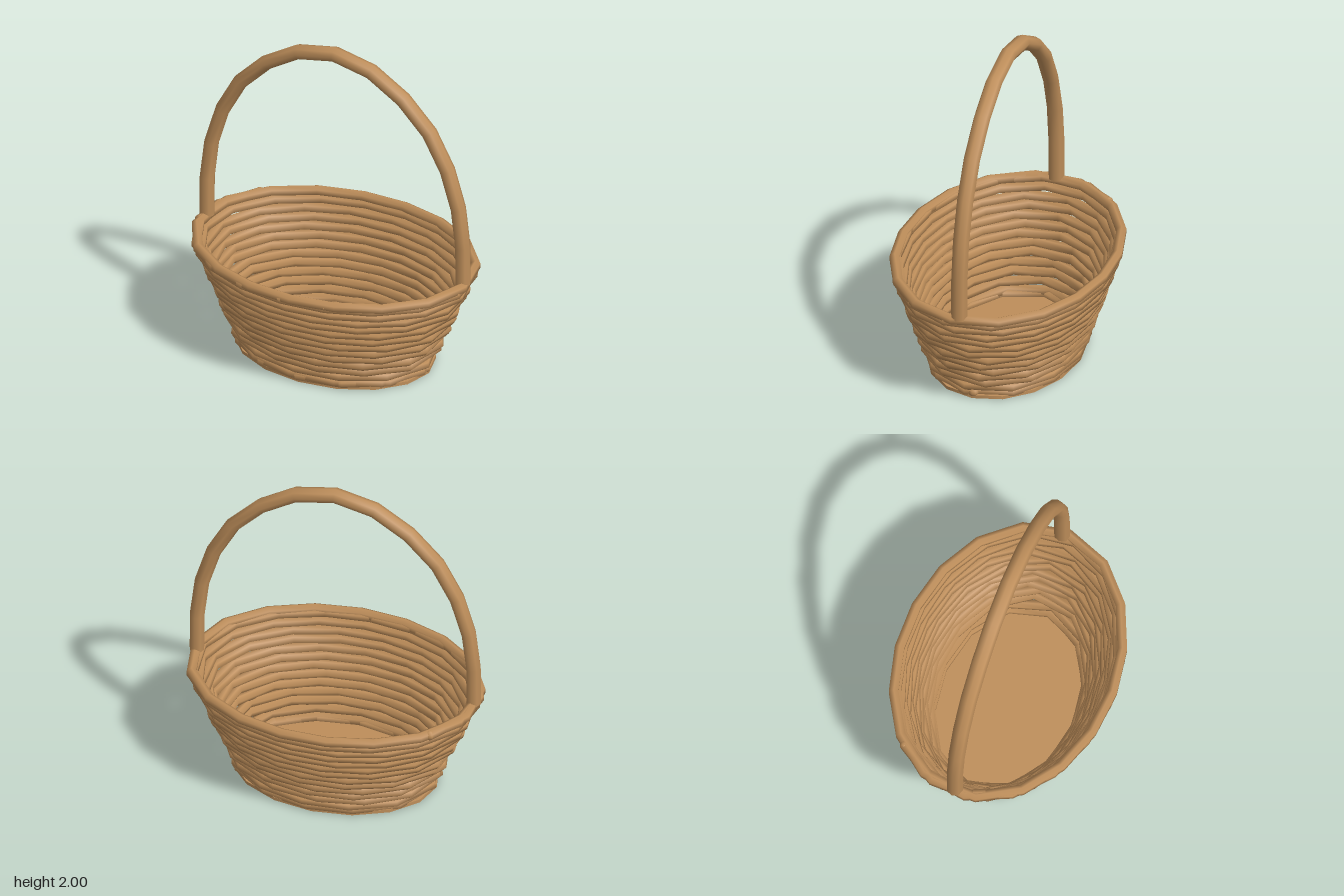
import * as THREE from 'three';

const BOTTOM = 0.03, TOP = 0.653, TURNS = 14.6, FLAT = 1.05;

// Oval spiral that widens as it climbs; the first and last turns lie level
class CoilCurve extends THREE.Curve {
  getPoint(t, target = new THREE.Vector3()) {
    const turn = t * TURNS;
    const k = THREE.MathUtils.clamp((turn - FLAT) / (TURNS - 2 * FLAT), 0, 1);
    const a = turn * Math.PI * 2;
    return target.set(
      Math.cos(a) * (0.59 + 0.265 * k),
      BOTTOM + (TOP - BOTTOM) * k,
      Math.sin(a) * (0.425 + 0.2 * k)
    );
  }
}

export function createModel() {
  const wicker = new THREE.MeshStandardMaterial({ color: 0xbe8e5a });
  wicker.name = 'wicker';
  const basket = new THREE.Group();
  basket.name = 'basket';
  const add = (name, geometry, parent = basket) => {
    const mesh = new THREE.Mesh(geometry, wicker);
    mesh.name = name;
    parent.add(mesh);
    return mesh;
  };

  // Woven wall: one thick strand wound upward
  const coil = new CoilCurve();
  coil.arcLengthDivisions = 3000;
  add('coiledWall', new THREE.TubeGeometry(coil, 212, 0.032, 6, false));
  [0, 1].forEach((t) => {
    add('strandEnd', new THREE.SphereGeometry(0.031, 8, 6)).position.copy(coil.getPoint(t));
  });

  // Oval floor
  const floor = add('floor', new THREE.CylinderGeometry(0.615, 0.615, 0.02, 16));
  floor.scale.z = 0.725;
  floor.position.y = 0.01;

  // Arched handle, mirrored from one half of its path
  const half = [[0.838, 0.66], [0.83, 1.0], [0.765, 1.31], [0.62, 1.6], [0.45, 1.775], [0.24, 1.905]];
  const path = [
    ...half.map(([x, y]) => new THREE.Vector3(x, y, 0)),
    new THREE.Vector3(0, 1.955, 0),
    ...half.slice().reverse().map(([x, y]) => new THREE.Vector3(-x, y, 0)),
  ];
  const handle = new THREE.Group();
  handle.name = 'handle';
  handle.scale.z = 1.12;
  basket.add(handle);
  add('handleArch', new THREE.TubeGeometry(new THREE.CatmullRomCurve3(path), 14, 0.044, 8, false), handle);
  [-1, 1].forEach((side) => {
    const cap = add('handleEnd', new THREE.CircleGeometry(0.044, 8), handle);
    cap.rotation.x = Math.PI / 2;
    cap.position.set(side * 0.838, 0.66, 0);
  });

  return basket;
}
